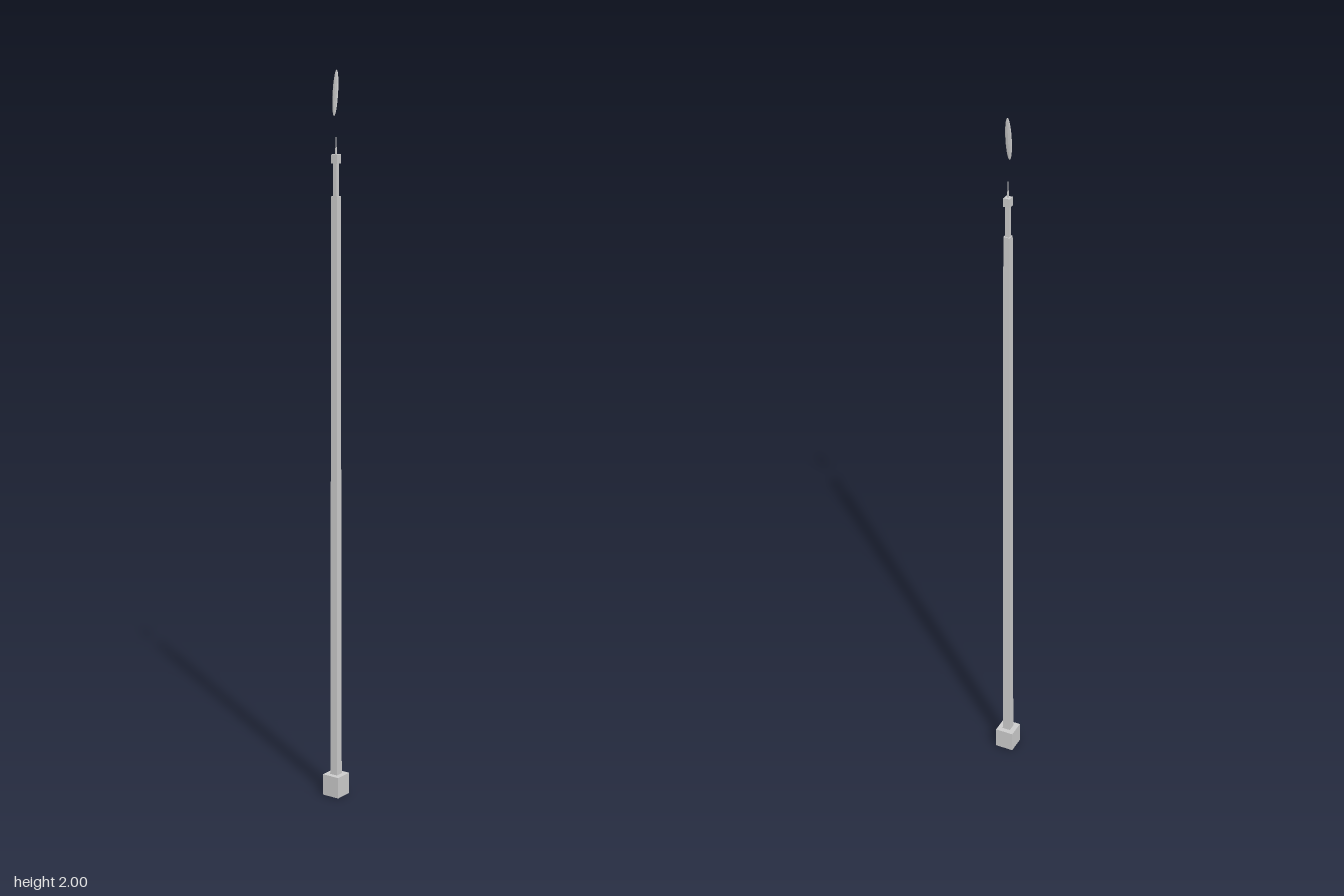
import * as THREE from 'three';

const material = new THREE.MeshStandardMaterial({ color: 0xcccccc, flatShading: true });

// Square section, tapering from half-width a at y0 to half-width b at y1
function squareShaft(name, a, b, y0, y1) {
  const geometry = new THREE.CylinderGeometry(b * Math.SQRT2, a * Math.SQRT2, y1 - y0, 4);
  geometry.rotateY(Math.PI / 4);
  geometry.translate(0, (y0 + y1) / 2, 0);
  const mesh = new THREE.Mesh(geometry, material);
  mesh.name = name;
  return mesh;
}

// Slim leaf-shaped tip, leaning towards +x at the top
function leafTip() {
  const geometry = new THREE.SphereGeometry(1, 8, 10);
  const p = geometry.attributes.position;
  for (let i = 0; i < p.count; i++) {
    const y = p.getY(i);
    p.setXYZ(i, p.getX(i) * 0.003 - 0.003 + 0.006 * y, 1.94 + 0.06 * y, p.getZ(i) * 0.009);
  }
  geometry.computeVertexNormals();
  const mesh = new THREE.Mesh(geometry, material);
  mesh.name = 'floatingTip';
  return mesh;
}

export function createModel() {
  const group = new THREE.Group();
  group.name = 'pole';
  group.add(
    // Base block with the tapering pole on it
    squareShaft('base', 0.026, 0.026, 0, 0.06),
    squareShaft('lowerPole', 0.0115, 0.009, 0.06, 1.67),
    // Thinner neck, collar and needle
    squareShaft('upperPole', 0.006, 0.006, 1.67, 1.756),
    squareShaft('collar', 0.009, 0.009, 1.756, 1.78),
    squareShaft('needle', 0.002, 0.0005, 1.78, 1.825),
    leafTip()
  );
  return group;
}
